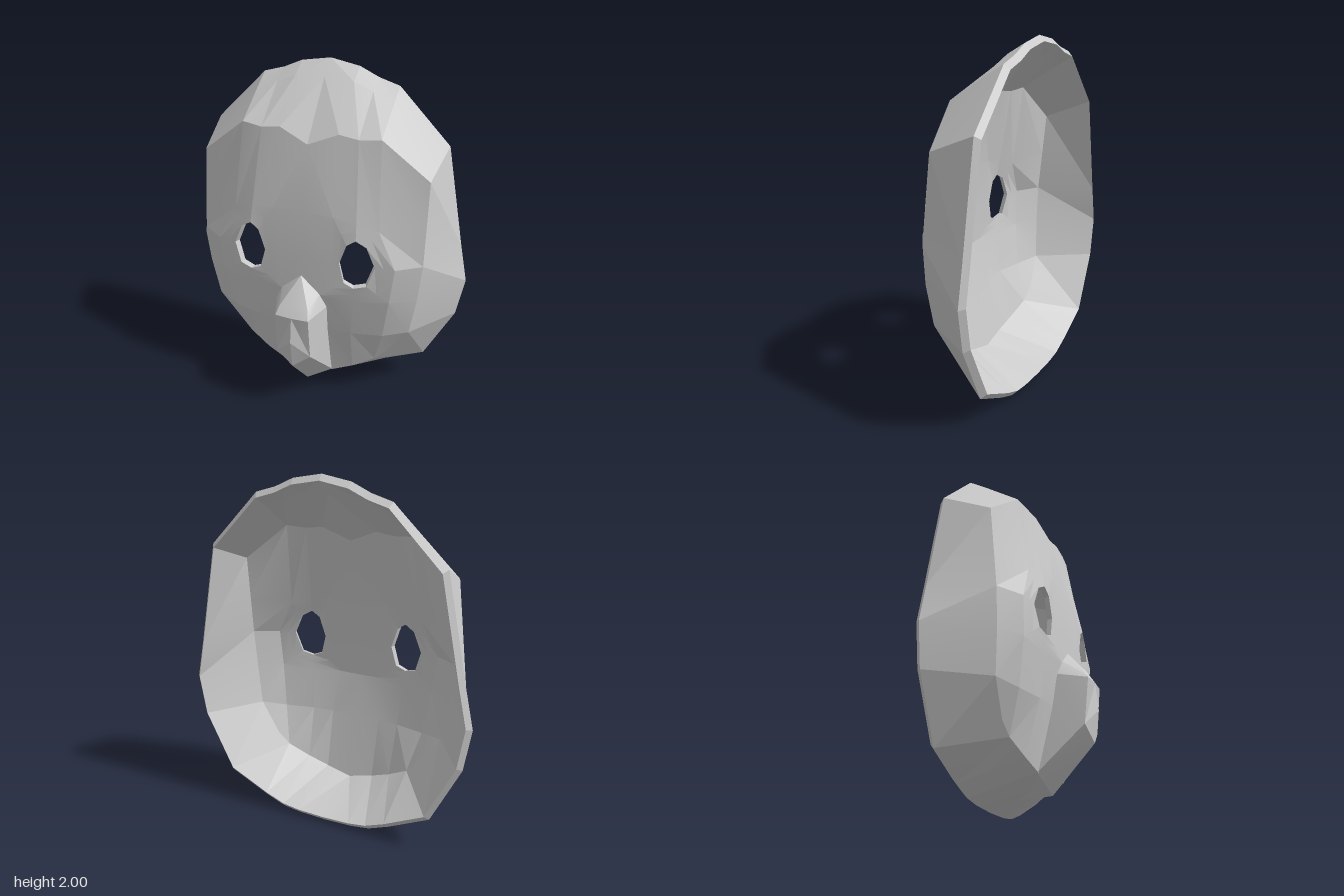
import * as THREE from 'three';
import { toCreasedNormals } from 'three/addons/utils/BufferGeometryUtils.js';

// Collects triangles on the +x half and mirrors each one to -x
function makeBuilder() {
  const pos = [];
  const tri = (a, b, c) => {
    const v = [a, b, c].map(p => new THREE.Vector3(...p));
    if (v[1].clone().sub(v[0]).cross(v[2].clone().sub(v[0])).length() < 1e-6) return;
    pos.push(...a, ...b, ...c);
    for (const p of [a, c, b]) pos.push(-p[0], p[1], p[2]);
  };
  const quad = (a, b, c, d) => { tri(a, b, c); tri(a, c, d); };
  const mesh = (name, crease) => {
    const g = new THREE.BufferGeometry();
    g.setAttribute('position', new THREE.Float32BufferAttribute(pos, 3));
    const m = new THREE.Mesh(toCreasedNormals(g, crease),
      new THREE.MeshStandardMaterial({ color: 0xcccccc, side: THREE.DoubleSide }));
    m.name = name;
    return m;
  };
  return { tri, quad, mesh };
}

// Back surface of the shell, set in by its thickness
const inset = ([x, y, z]) => [x * 0.968, 1 + (y - 1) * 0.968, z - 0.03];
const R = -0.3;

// Rows from crown to chin, each running from the centre line out to the rim
const rows = [
  [[0, 2, R], [0.17, 1.97, R], [0.28, 1.92, R], [0.4, 1.885, R], [0.7, 1.58, R], [0.7, 1.58, R]],
  [[0, 1.92, -0.2], [0.17, 1.91, -0.2], [0.28, 1.87, -0.2], [0.4, 1.83, -0.21], [0.688, 1.544, -0.21], [0.7, 1.58, R]],
  [[0, 1.62, 0.055], [0.17, 1.69, 0.03], [0.28, 1.675, 0.03], [0.4, 1.685, 0.01], [0.665, 1.47, -0.03], [0.7, 1.58, R]],
  [[0, 1.25, 0.13], [0.18, 1.25, 0.13], [0.31, 1.23, 0.12], [0.43, 1.19, 0.092], [0.668, 1.22, -0.004]],
  [[0, 0.99, 0.15], [0.165, 0.99, 0.15], [0.32, 0.99, 0.15], [0.535, 0.98, 0.11], [0.67, 0.985, 0.02], [0.815, 0.985, R]],
  [[0, 0.76, 0.16], [0.13, 0.76, 0.163], [0.31, 0.74, 0.14], [0.51, 0.76, 0.105], [0.65, 0.76, 0.02], [0.862, 0.76, R]],
  [[0, 0.5, 0.12], [0.16, 0.5, 0.12], [0.29, 0.5, 0.105], [0.47, 0.5, 0.065], [0.61, 0.52, 0], [0.82, 0.52, R]],
  [[0, 0.11, 0.04], [0.155, 0.15, 0.04], [0.28, 0.2, 0.02], [0.41, 0.27, -0.01], [0.48, 0.34, -0.02], [0.645, 0.18, R]],
  [[0, 0, R], [0.17, 0.005, R], [0.28, 0.02, R], [0.4, 0.065, R], [0.645, 0.18, R], [0.645, 0.18, R]],
];

// Eye opening, anticlockwise from its lower inner corner
const eye = [[0.255, 0.865, 0.152], [0.315, 0.84, 0.152], [0.385, 0.86, 0.14], [0.425, 0.98, 0.125],
  [0.375, 1.1, 0.13], [0.315, 1.135, 0.14], [0.265, 1.1, 0.145], [0.225, 0.98, 0.148]];

function buildShell() {
  const { quad, mesh } = makeBuilder();
  const skin = (a, b, c, d) => {
    quad(a, b, c, d);
    quad(inset(a), inset(d), inset(c), inset(b));
  };
  const edge = (a, b) => quad(a, b, inset(b), inset(a));

  // Face and side walls, leaving out the cells around the eye and the upper side
  for (let i = 0; i < rows.length - 1; i++)
    for (let j = 0; j < 5; j++) {
      if ((i === 3 || i === 4) && (j === 1 || j === 2)) continue;
      if ((i === 2 || i === 3) && j === 4) continue;
      skin(rows[i][j], rows[i + 1][j], rows[i + 1][j + 1], rows[i][j + 1]);
    }
  // Tall upper side wall
  skin(rows[2][4], rows[4][4], rows[4][5], rows[2][5]);

  // Eye socket in two rings, then the thickness of the opening
  const border = [[5, 1], [5, 2], [5, 3], [4, 3], [3, 3], [3, 2], [3, 1], [4, 1]].map(([i, j]) => rows[i][j]);
  const socket = border.map((p, k) => p.map((v, n) => v + (eye[k][n] - v) * 0.55));
  for (let k = 0; k < 8; k++) {
    const n = (k + 1) % 8;
    skin(border[k], border[n], socket[n], socket[k]);
    skin(socket[k], socket[n], eye[n], eye[k]);
    edge(eye[k], eye[n]);
  }

  // Rim edge
  const last = rows.length - 1;
  const rim = [...rows[0].slice(0, 5), ...rows.slice(4, last).map(r => r[5]), ...rows[last].slice(0, 4).reverse()];
  for (let k = 0; k < rim.length - 1; k++) edge(rim[k], rim[k + 1]);
  return mesh('maskShell', 0.15);
}

function buildBeak() {
  const { tri, quad, mesh } = makeBuilder();
  const base = [[0, 0.86, 0.155], [0.115, 0.765, 0.165], [0.155, 0.68, 0.15], [0.155, 0.15, 0.035], [0, 0.06, 0.06]];
  const front = [[0, 0.725, 0.27], [0.085, 0.71, 0.27], [0.1, 0.66, 0.305], [0.105, 0.4, 0.282], [0, 0.32, 0.3]];
  const ridge = [[0, 0.66, 0.312], [0, 0.5, 0.328]];
  // Sides
  for (let k = 0; k < 4; k++) quad(base[k], front[k], front[k + 1], base[k + 1]);
  // Front
  quad(front[0], ridge[0], front[2], front[1]);
  quad(ridge[0], ridge[1], front[3], front[2]);
  tri(ridge[1], front[4], front[3]);
  // Underside running back to the chin
  tri(base[4], [0, 0.05, -0.2], base[3]);
  return mesh('beak', 0.3);
}

export function createModel() {
  const group = new THREE.Group();
  group.name = 'birdMask';
  group.add(buildShell(), buildBeak());
  return group;
}
